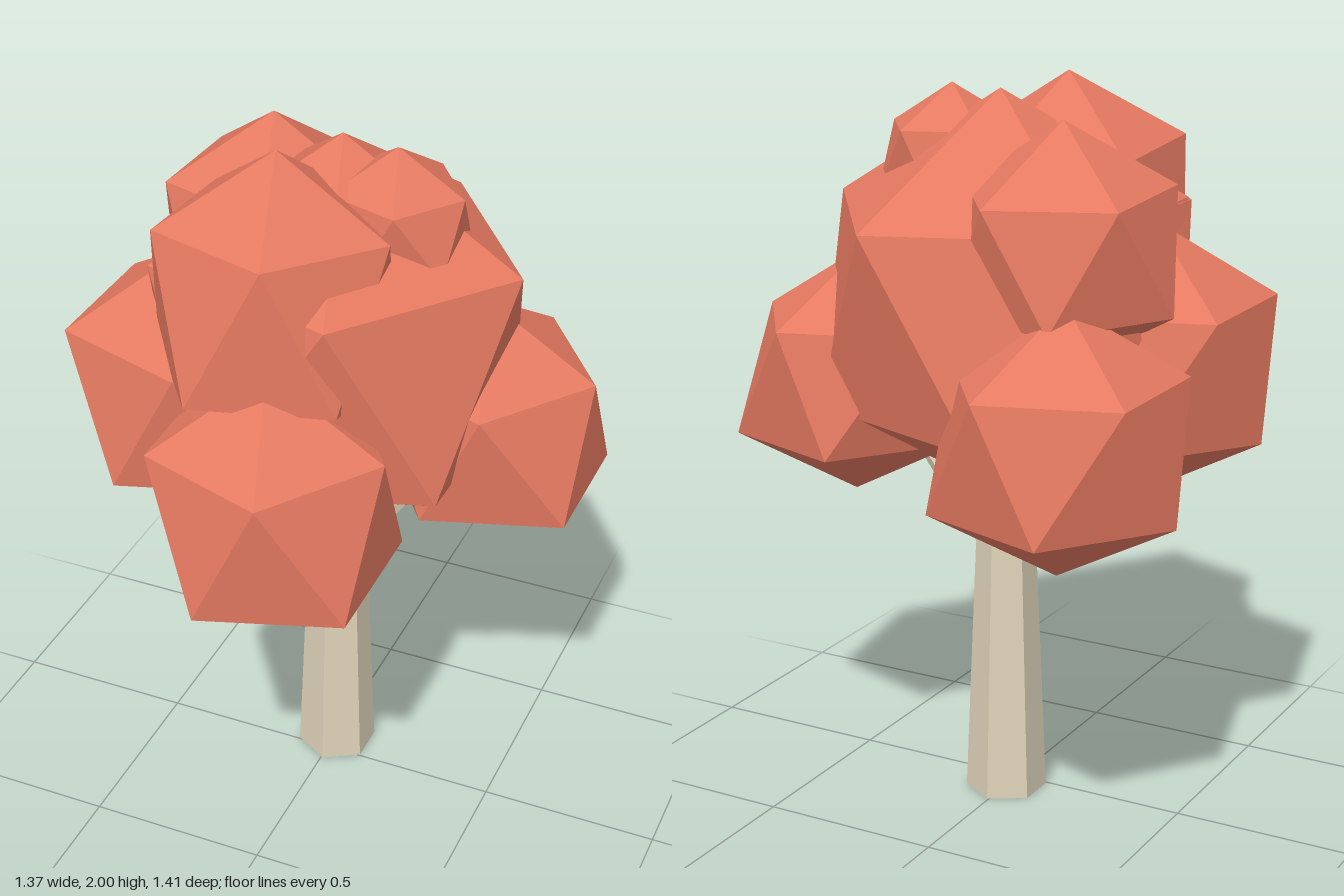
import * as THREE from 'three';

const leafMat = new THREE.MeshStandardMaterial({ color: 0xe67a61, flatShading: true });
leafMat.name = 'coral leaves';
const barkMat = new THREE.MeshStandardMaterial({ color: 0xdfd3b9, flatShading: true });
barkMat.name = 'pale bark';

// Icosahedron standing on a corner, with an upper-ring corner facing +x.
// Its lower half flares a little and is shifted sideways; the lower ring also sags.
function leafGeometry(radius, dx, dy, dz) {
  const g = new THREE.IcosahedronGeometry(radius, 0);
  g.rotateZ(-Math.atan(2 / (1 + Math.sqrt(5))));
  const p = g.attributes.position;
  for (let i = 0; i < p.count; i++) {
    const y = p.getY(i);
    if (y > 0) continue;
    const sag = y > -0.9 * radius ? dy : 0;
    p.setXYZ(i, p.getX(i) * 1.04 + dx, y + sag, p.getZ(i) * 1.04 + dz);
  }
  g.computeVertexNormals();
  return g;
}

export function createModel() {
  const tree = new THREE.Group();
  tree.name = 'tree';

  // Tapered six-sided trunk
  const trunk = new THREE.Mesh(new THREE.CylinderGeometry(0.074, 0.112, 0.93, 6), barkMat);
  trunk.name = 'trunk';
  trunk.position.set(0.005, 0.465, -0.06);
  tree.add(trunk);

  // Side branch reaching into the foliage
  const from = new THREE.Vector3(0.03, 0.7, -0.065);
  const to = new THREE.Vector3(0.31, 1.08, -0.09);
  const along = to.clone().sub(from);
  const branch = new THREE.Mesh(new THREE.CylinderGeometry(0.024, 0.036, along.length(), 6), barkMat);
  branch.name = 'branch';
  branch.position.copy(from).addScaledVector(along, 0.5);
  branch.quaternion.setFromUnitVectors(new THREE.Vector3(0, 1, 0), along.normalize());
  tree.add(branch);

  // Foliage clumps: name, centre, radius, tilt about x, shift of the lower half
  const clumps = [
    ['crownClump', [0.01, 1.415, -0.06], 0.553, -0.03, [-0.02, -0.03, 0]],
    ['topFrontClump', [-0.08, 1.65, 0.16], 0.347, -0.08, [0.01, -0.08, 0.02]],
    ['topBackClump', [-0.245, 1.6, -0.2], 0.322, -0.05, [0, -0.01, 0]],
    ['topSmallClump', [0.17, 1.77, -0.05], 0.2, 0, [0.015, 0, 0]],
    ['innerSmallClump', [-0.245, 1.57, 0.13], 0.205, 0, [0, 0, 0]],
    ['lowerFrontClump', [0, 1.165, 0.37], 0.353, 0.03, [0.03, -0.045, 0.02]],
    ['lowerSideClump', [0.38, 1.19, -0.155], 0.345, 0, [0.045, -0.02, 0]],
    ['lowerBackClump', [-0.345, 1.15, -0.395], 0.355, 0, [0.02, -0.02, 0]],
    ['lowerCornerClump', [-0.365, 1.26, 0.065], 0.375, 0, [0.03, -0.02, 0]],
  ];
  const foliage = new THREE.Group();
  foliage.name = 'foliage';
  for (const [name, centre, radius, tilt, shift] of clumps) {
    const clump = new THREE.Mesh(leafGeometry(radius, ...shift), leafMat);
    clump.name = name;
    clump.position.set(...centre);
    clump.rotation.x = tilt;
    foliage.add(clump);
  }
  tree.add(foliage);
  return tree;
}
